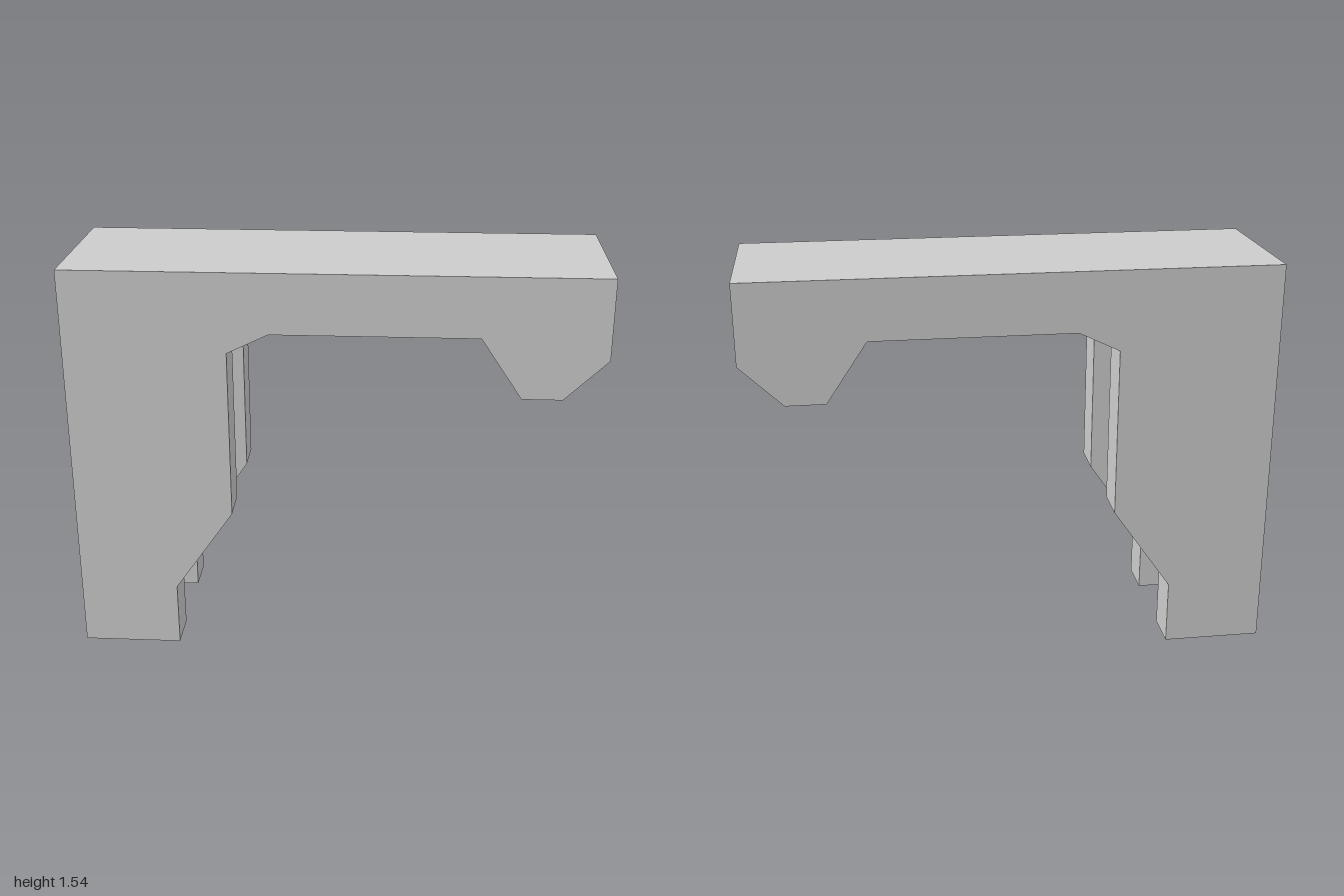
import * as THREE from 'three';

const HALF = 0.31;    // half of the full depth
const GROOVE = 0.155; // half of the groove width

// Extrudes an x-y profile between two depths
function slab(name, points, z0, z1, material) {
  const shape = new THREE.Shape(points.map(([x, y]) => new THREE.Vector2(x, y)));
  const geometry = new THREE.ExtrudeGeometry(shape, { depth: z1 - z0, bevelEnabled: false });
  geometry.translate(0, 0, z0);
  const mesh = new THREE.Mesh(geometry, material);
  mesh.name = name;
  return mesh;
}

export function createModel() {
  const group = new THREE.Group();
  group.name = 'bracket';
  const material = new THREE.MeshStandardMaterial({ color: 0xcccccc, flatShading: true });

  // Back of the post, top of the arm and end of the hook
  const back = [[1, 1.235], [1, 1.54], [-1, 1.54], [-1, 0]];

  // Cheeks: stepped foot, post, arm underside and hook
  const cheek = [
    ...back, [-0.62, 0], [-0.62, 0.25], [-0.39, 0.58], [-0.39, 1.235],
    [-0.235, 1.31], [0.535, 1.31], [0.69, 1.08], [0.84, 1.08],
  ];

  // Core: floor of the groove that runs along the inner side
  const core = [
    ...back, [-0.775, 0], [-0.775, 0.25], [-0.62, 0.58], [-0.62, 0.9],
    [-0.39, 1.235], [-0.235, 1.385], [0.635, 1.385], [0.84, 1.08],
  ];

  group.add(
    slab('frontCheek', cheek, GROOVE, HALF, material),
    slab('grooveCore', core, -GROOVE, GROOVE, material),
    slab('backCheek', cheek, -HALF, -GROOVE, material),
  );
  return group;
}
